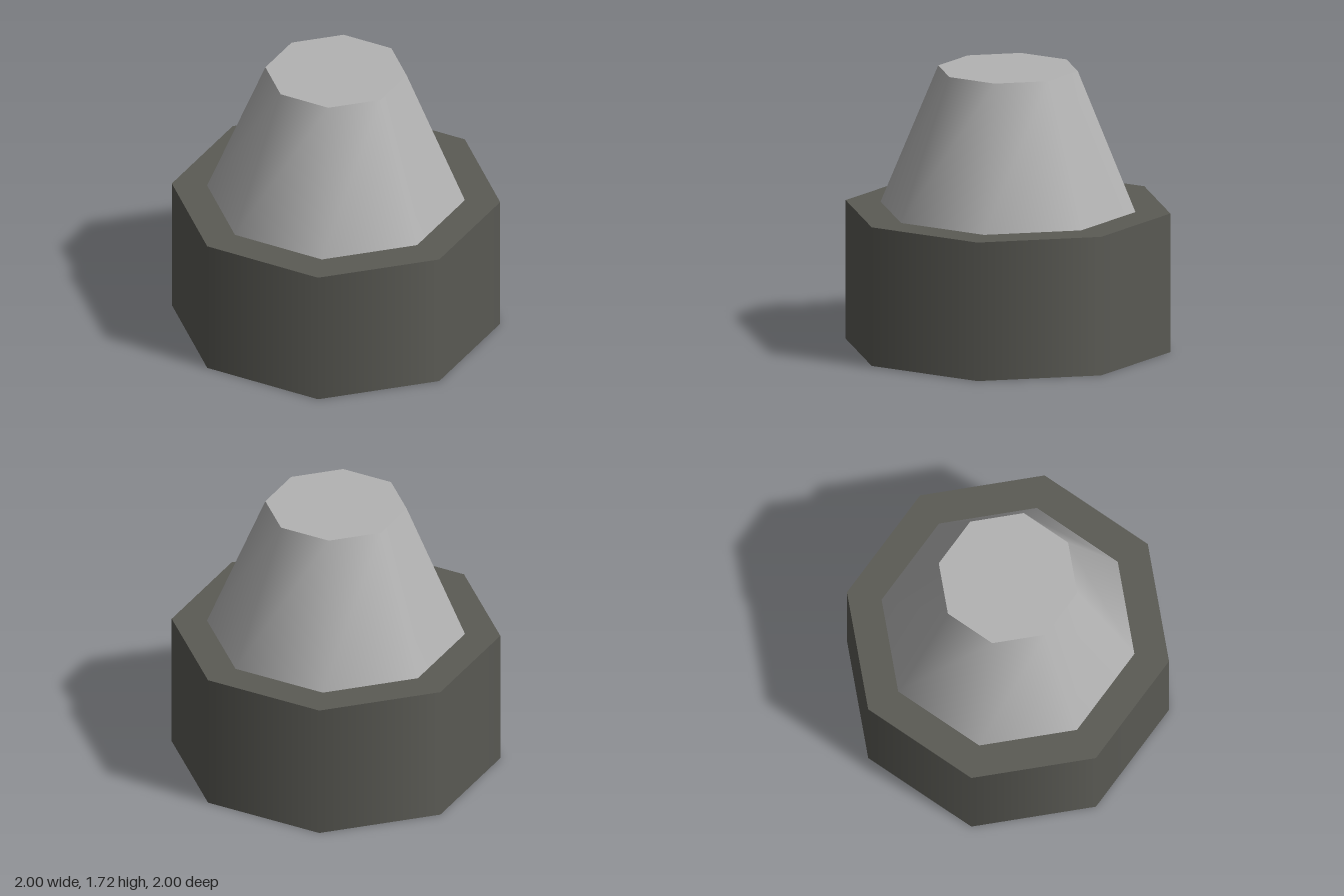
import * as THREE from 'three';

const SIDES = 8;

export function createModel() {
  const group = new THREE.Group();
  const darkMetal = new THREE.MeshStandardMaterial({ color: 0x5b5b55, side: THREE.DoubleSide });
  darkMetal.name = 'dark grey';
  const lightMetal = new THREE.MeshStandardMaterial({ color: 0xb3b3b3, side: THREE.DoubleSide });
  lightMetal.name = 'light grey';

  // Smooth-shaded eight-sided wall, open at the bottom and closed by a flat lid
  function addSection(name, topRadius, bottomRadius, bottom, top, material) {
    const section = new THREE.Group();
    section.name = name;
    const wall = new THREE.Mesh(
      new THREE.CylinderGeometry(topRadius, bottomRadius, top - bottom, SIDES, 1, true), material);
    wall.name = name + 'Wall';
    wall.position.y = (top + bottom) / 2;
    const lid = new THREE.Mesh(new THREE.CircleGeometry(topRadius, SIDES), material);
    lid.name = name + 'Lid';
    lid.rotation.x = -Math.PI / 2;
    lid.position.y = top;
    section.add(wall, lid);
    group.add(section);
  }

  addSection('base', 1, 1, 0, 0.86, darkMetal);
  addSection('cone', 0.43, 0.785, 0.86, 1.72, lightMetal);
  return group;
}
